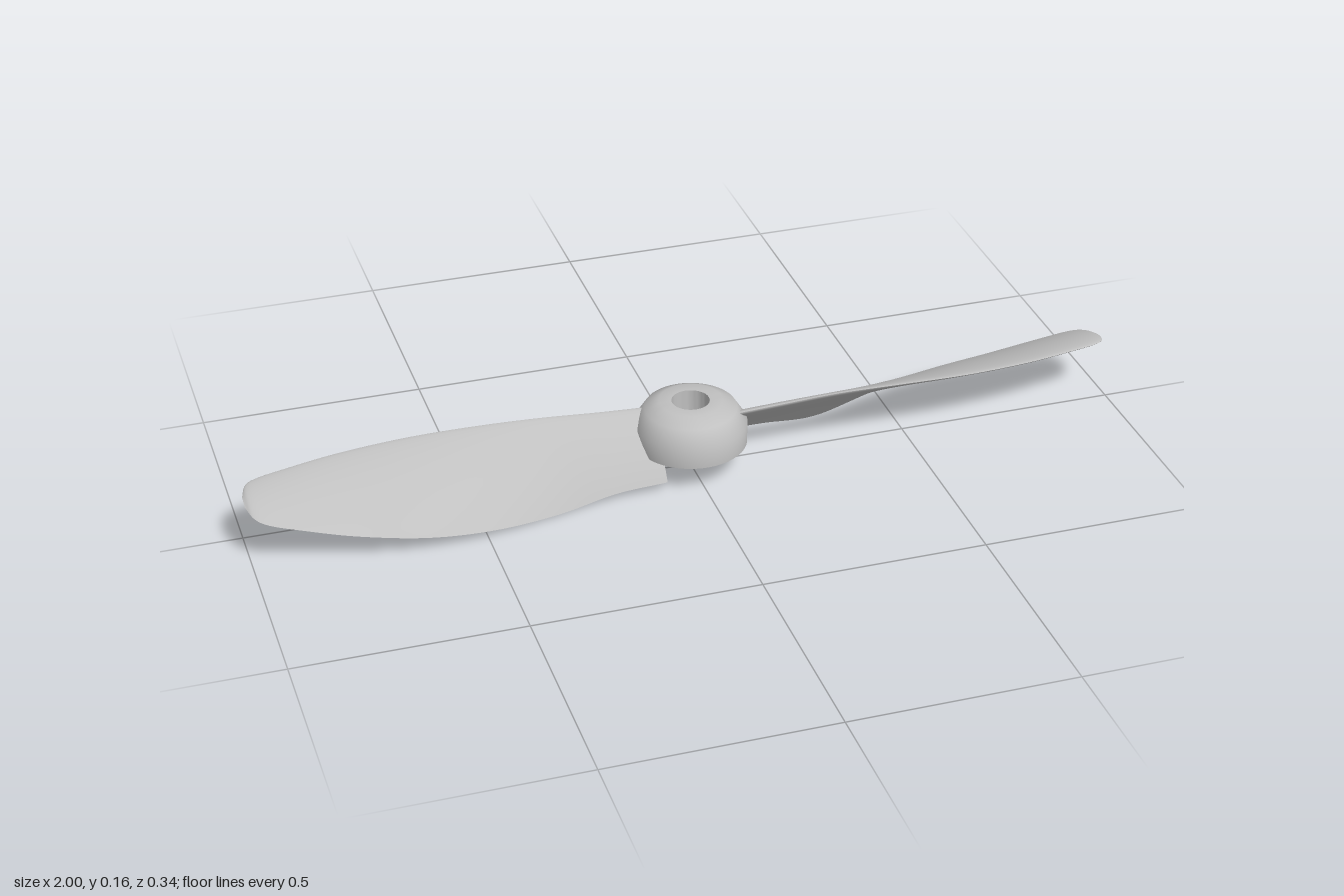
import * as THREE from 'three';
import { toCreasedNormals } from 'three/addons/utils/BufferGeometryUtils.js';

// Blade stations: x, leading edge z, y, trailing edge z, y, thickness
const STATIONS = [
  [0.08, 0.043, 0.138, -0.088, 0.02, 0.018],
  [0.2, 0.044, 0.144, -0.094, 0.016, 0.018],
  [0.33, 0.048, 0.151, -0.113, 0.001, 0.017],
  [0.48, 0.055, 0.152, -0.152, 0.014, 0.016],
  [0.63, 0.056, 0.15, -0.172, 0.036, 0.015],
  [0.78, 0.042, 0.147, -0.163, 0.063, 0.013],
  [0.9, 0.018, 0.144, -0.145, 0.091, 0.011],
  [0.96, 0.003, 0.142, -0.132, 0.106, 0.009],
  [0.987, -0.013, 0.139, -0.112, 0.115, 0.006],
  [1.0, -0.045, 0.131, -0.075, 0.124, 0.0],
];
const ROWS = 72, COLS = 16;

function bladeGeometry() {
  const curve = (f) => new THREE.CatmullRomCurve3(
    STATIONS.map(f), false, 'catmullrom', 0.5);
  const lead = curve(([x, z, y]) => new THREE.Vector3(x, y, z));
  const trail = curve(([x, , , z, y]) => new THREE.Vector3(x, y, z));
  const thick = curve(([x, , , , , t]) => new THREE.Vector3(x, t, 0));

  // Point on the aerofoil skin; side is +1 for the top, -1 for the underside
  const skin = (t, s, side) => {
    const a = lead.getPoint(t), chord = trail.getPoint(t).sub(a);
    const normal = new THREE.Vector3(0, -chord.z, chord.y).normalize();
    const half = 1.48 * thick.getPoint(t).y *
      Math.max(0, Math.sqrt(s) * (1 - s)) * 0.9;
    const camber = 0.035 * chord.length() * 4 * s * (1 - s);
    return a.addScaledVector(chord, s).addScaledVector(normal, camber + side * half);
  };

  const pos = [], index = [];
  const w = COLS + 1;
  const quad = (a, b, c, d) => index.push(a, b, c, a, c, d);
  for (const side of [1, -1]) {
    const base = pos.length / 3;
    for (let i = 0; i <= ROWS; i++)
      for (let j = 0; j <= COLS; j++) {
        const s = (1 - Math.cos(Math.PI * j / COLS)) / 2;
        pos.push(...skin(i / ROWS, s, side).toArray());
      }
    for (let i = 0; i < ROWS; i++)
      for (let j = 0; j < COLS; j++) {
        const p = base + i * w + j, q = p + w;
        if (side > 0) quad(p, q, q + 1, p + 1);
        else quad(p, p + 1, q + 1, q);
      }
  }

  // Flat cut at the root
  const cap = pos.length / 3, under = (ROWS + 1) * w;
  for (const start of [0, under])
    pos.push(...pos.slice(start * 3, (start + w) * 3));
  for (let j = 0; j < COLS; j++)
    quad(cap + j, cap + j + 1, cap + w + j + 1, cap + w + j);

  const g = new THREE.BufferGeometry();
  g.setAttribute('position', new THREE.Float32BufferAttribute(pos, 3));
  g.setIndex(index);
  g.computeVertexNormals();
  return g;
}

export function createModel() {
  const group = new THREE.Group();
  group.name = 'propeller';
  const grey = new THREE.MeshStandardMaterial({ color: 0xc0c0c0 });
  grey.name = 'light grey';

  // Bevelled hub with a shaft bore
  const profile = [[0.042, 0.065], [0.125, 0.065], [0.125, 0.113], [0.102, 0.149],
    [0.07, 0.165], [0.042, 0.165], [0.042, 0.065]]
    .map(([r, y]) => new THREE.Vector2(r, y));
  const hub = new THREE.Mesh(
    toCreasedNormals(new THREE.LatheGeometry(profile, 48), 0.7), grey);
  hub.name = 'hub';
  group.add(hub);

  // Two identical twisted blades, half a turn apart
  const geometry = bladeGeometry();
  ['leftBlade', 'rightBlade'].forEach((name, i) => {
    const blade = new THREE.Mesh(geometry, grey);
    blade.name = name;
    blade.rotation.y = i * Math.PI;
    group.add(blade);
  });
  return group;
}
